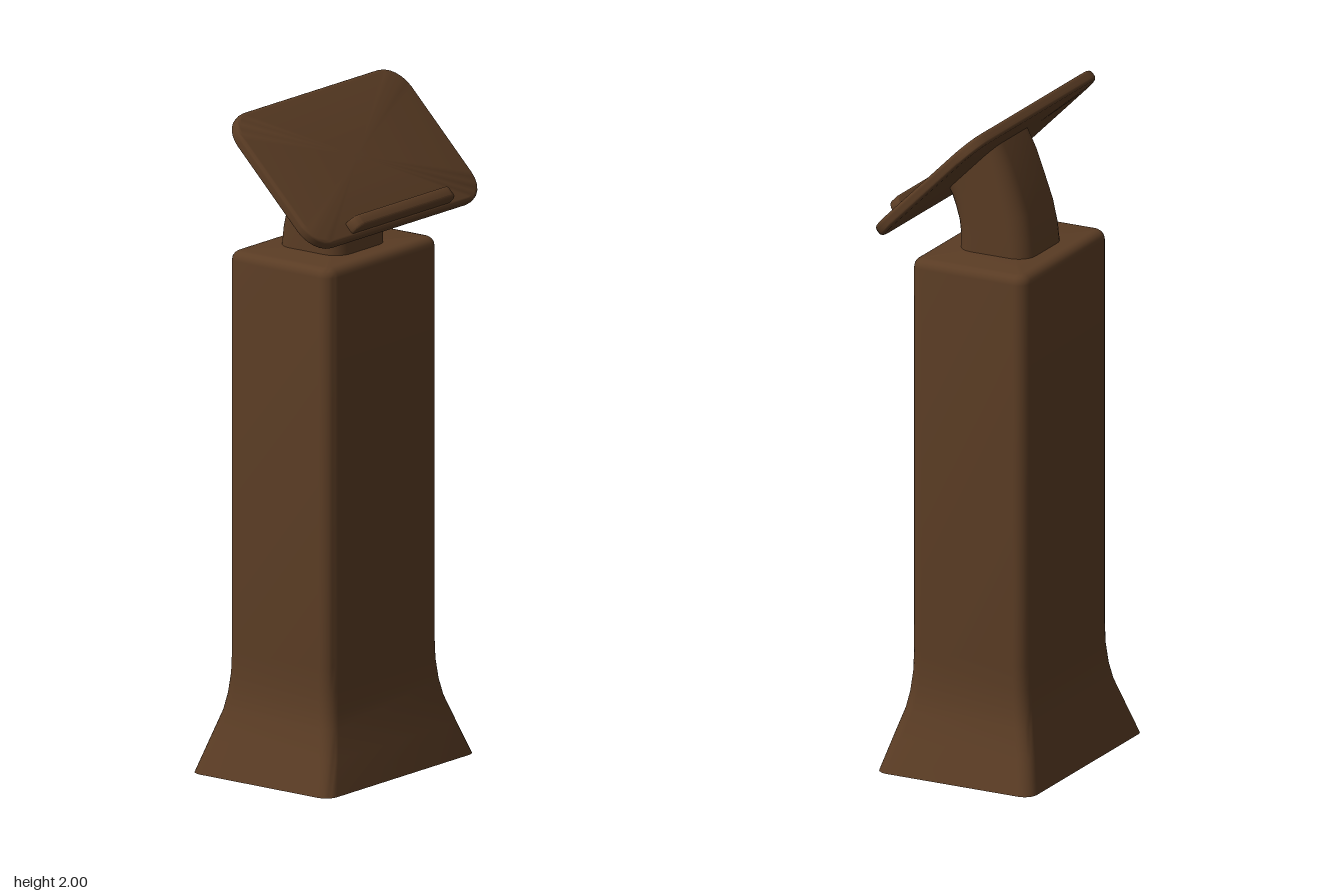
import * as THREE from 'three';
import { toCreasedNormals } from 'three/addons/utils/BufferGeometryUtils.js';

const material = new THREE.MeshStandardMaterial({ color: 0x5a3c24 });

// Skins a stack of rounded rectangles. Each section is
// [half width in x, corner radius, front [y, z], back [y, z]].
function loft(name, sections, segs = 6) {
  const pos = [], index = [];
  const n = 4 * (segs + 1);
  for (const [hw, r, f, b] of sections) {
    const depth = Math.hypot(f[0] - b[0], f[1] - b[1]);
    const dir = [(f[0] - b[0]) / depth, (f[1] - b[1]) / depth];
    const mid = [(f[0] + b[0]) / 2, (f[1] + b[1]) / 2];
    for (let q = 0; q < 4; q++) {
      const sx = q === 0 || q === 3 ? 1 : -1;
      const sd = q < 2 ? 1 : -1;
      for (let k = 0; k <= segs; k++) {
        const a = (q + k / segs) * Math.PI / 2;
        const x = sx * (hw - r) + r * Math.cos(a);
        const d = sd * (depth / 2 - r) + r * Math.sin(a);
        pos.push(x, mid[0] + dir[0] * d, mid[1] + dir[1] * d);
      }
    }
  }
  const last = sections.length - 1;
  for (let s = 0; s < last; s++) {
    for (let i = 0; i < n; i++) {
      const a = s * n + i, b = s * n + (i + 1) % n;
      index.push(a, a + n, b, b, a + n, b + n);
    }
  }
  // end caps
  for (const s of [0, last]) {
    const [, , f, b] = sections[s];
    const c = pos.length / 3;
    pos.push(0, (f[0] + b[0]) / 2, (f[1] + b[1]) / 2);
    for (let i = 0; i < n; i++) {
      const p = s * n + i, q = s * n + (i + 1) % n;
      if (s === 0) index.push(c, p, q);
      else index.push(c, q, p);
    }
  }
  const geo = new THREE.BufferGeometry();
  geo.setAttribute('position', new THREE.Float32BufferAttribute(pos, 3));
  geo.setIndex(index);
  const mesh = new THREE.Mesh(toCreasedNormals(geo, 0.7), material);
  mesh.name = name;
  return mesh;
}

// Quarter-round steps as [inset, rise] from the side of a bevel to its end
function bevel(r, steps = 4) {
  return Array.from({ length: steps + 1 }, (_, i) => {
    const a = (i / steps) * Math.PI / 2;
    return [r * (1 - Math.cos(a)), r * Math.sin(a)];
  });
}

export function createModel() {
  const model = new THREE.Group();
  model.name = 'kioskStand';

  // Pedestal with a flared foot and a softened top
  const zc = -0.0125;
  const level = (y, hx, hz, r) => [hx, r, [y, zc + hz], [y, zc - hz]];
  const pedestal = [
    [0, 0.35, 0.257], [0.1, 0.31, 0.23], [0.18, 0.28, 0.207],
    [0.23, 0.269, 0.198], [0.29, 0.262, 0.192], [0.36, 0.26, 0.19],
  ].map(([y, hx, hz]) => level(y, hx, hz, 0.04));
  for (const [inset, rise] of bevel(0.028)) {
    pedestal.push(level(1.528 + rise, 0.26 - inset, 0.19 - inset, 0.04 - inset));
  }
  model.add(loft('pedestal', pedestal));

  // Curved neck leaning forward into the back of the panel
  model.add(loft('neck', [
    [[1.54, 0.104], [1.54, -0.136]],
    [[1.60, 0.103], [1.61, -0.128]],
    [[1.64, 0.108], [1.68, -0.112]],
    [[1.68, 0.12], [1.76, -0.083]],
    [[1.71, 0.131], [1.83, -0.056]],
    [[1.73, 0.143], [1.897, -0.022]],
  ].map(([f, b]) => [0.122, 0.055, f, b])));

  // Tilted head: local y is the panel's face normal, local z points down it
  const head = new THREE.Group();
  head.name = 'head';
  head.position.set(0, 1.82, 0.066);
  head.rotation.x = Math.PI / 4;
  model.add(head);

  const slab = (y, inset) =>
    [0.4 - inset, 0.085 - inset, [y, 0.24 - inset], [y, -0.24 + inset]];
  const edge = bevel(0.0125);
  head.add(loft('panel', [
    ...edge.map(([i, h]) => slab(-0.005 - h, i)).reverse(),
    ...edge.map(([i, h]) => slab(0.005 + h, i)),
  ]));

  // Ledge along the lower edge of the panel
  const strip = (z, inset) =>
    [0.232 - inset, 0.028 - inset, [0.057 - inset, z], [-0.01 + inset, z]];
  const lipEdge = bevel(0.007, 3);
  head.add(loft('ledge', [
    ...lipEdge.map(([i, h]) => strip(0.221 + h, i)).reverse(),
    ...lipEdge.map(([i, h]) => strip(0.197 - h, i)),
  ]));

  return model;
}
